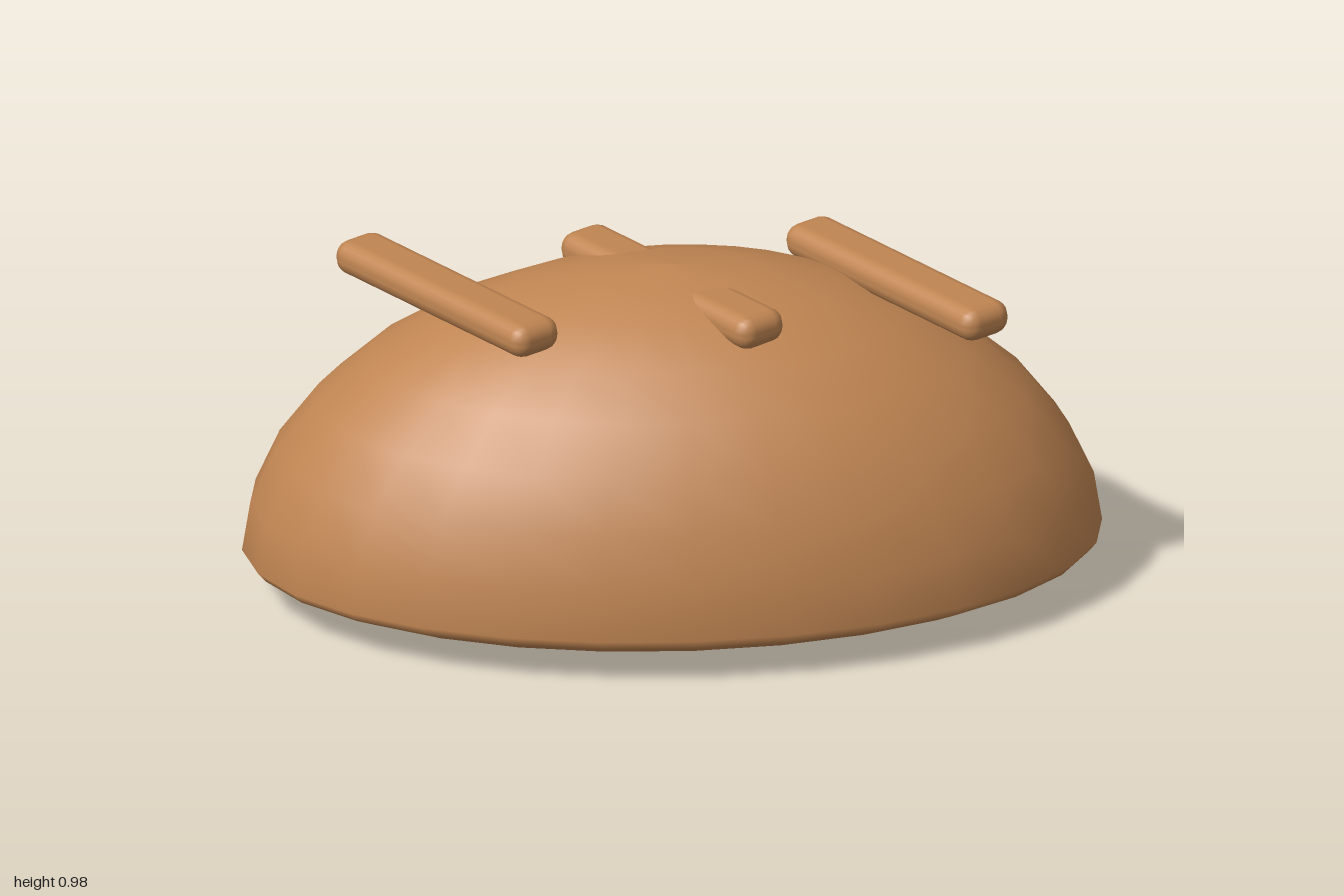
import * as THREE from 'three';
import { RoundedBoxGeometry } from 'three/addons/geometries/RoundedBoxGeometry.js';

const crust = new THREE.MeshStandardMaterial({ color: 0xc08552 });
crust.name = 'crust brown';

export function createModel() {
  const group = new THREE.Group();
  group.name = 'breadLoaf';

  // Loaf: oval dome over a shallow, slightly bulging base
  const rows = 8, rimY = 0.14, domeHeight = 0.835;
  const profile = [];
  for (let i = -rows; i <= rows; i++) {
    const angle = (i / rows) * Math.PI / 2;
    const s = Math.sin(angle);
    const y = i < 0 ? rimY + rimY * s : rimY + domeHeight * Math.pow(s, 1.07);
    profile.push(new THREE.Vector2(Math.abs(i) === rows ? 0 : Math.cos(angle), y));
  }
  const loaf = new THREE.Mesh(new THREE.LatheGeometry(profile, 28), crust);
  loaf.name = 'loaf';
  loaf.scale.set(1.216, 1, 0.74);
  loaf.rotation.y = Math.PI / 4;
  group.add(loaf);

  // Three parallel raised ridges across the top
  const ridgeGeometry = new RoundedBoxGeometry(0.83, 0.1, 0.163, 2, 0.045);
  [['frontRidge', -1], ['middleRidge', 0], ['backRidge', 1]].forEach(([name, k]) => {
    const ridge = new THREE.Mesh(ridgeGeometry, crust);
    ridge.name = name;
    ridge.position.set(0.45 * k, 0.905, -0.45 * k);
    ridge.rotation.y = -0.175;
    group.add(ridge);
  });

  return group;
}
